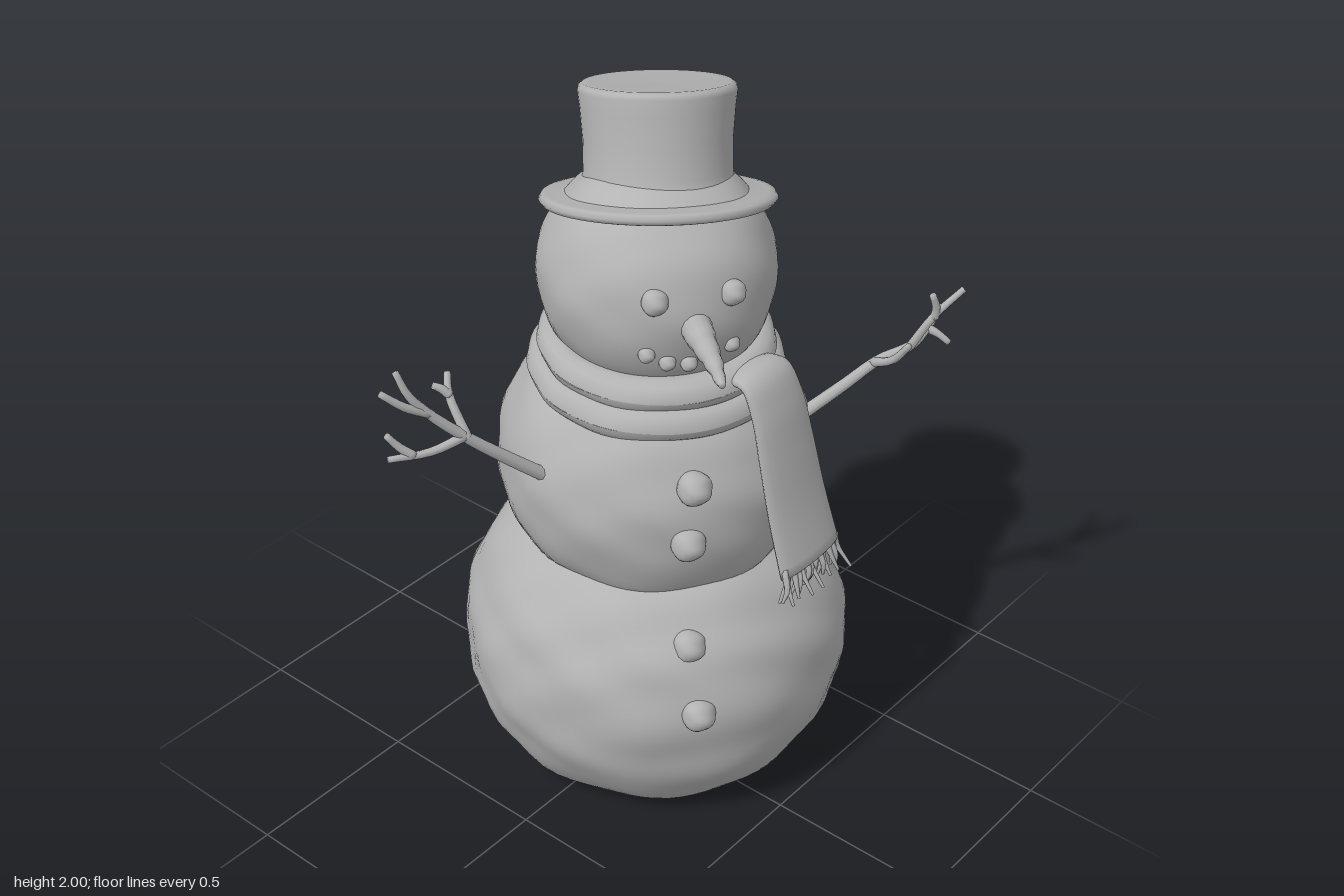
import * as THREE from 'three';
import { mergeVertices } from 'three/addons/utils/BufferGeometryUtils.js';

const V = (a) => new THREE.Vector3(...a);
const snowGray = new THREE.MeshStandardMaterial({ color: 0xb3b3b3 });
snowGray.name = 'plain gray';

// Hand-packed lumpiness: push each vertex along its normal by layered waves
function lumpy(geometry, amount, freq, keepFloor = false) {
  const n = geometry.attributes.normal, p = geometry.attributes.position;
  for (let i = 0; i < p.count; i++) {
    const x = p.getX(i) * freq, y = p.getY(i) * freq, z = p.getZ(i) * freq;
    if (keepFloor && p.getY(i) < 0.01) continue;
    const d = amount * (Math.sin(x + 1.7 * Math.sin(y * 0.9)) * Math.cos(z * 1.1 + y)
      + 0.5 * Math.sin(2.1 * y + 1.3 * x - 1.9 * z));
    p.setXYZ(i, p.getX(i) + n.getX(i) * d, p.getY(i) + n.getY(i) * d, p.getZ(i) + n.getZ(i) * d);
  }
  geometry.deleteAttribute('uv');
  geometry.deleteAttribute('normal');
  const merged = mergeVertices(geometry, 1e-5);
  merged.computeVertexNormals();
  return merged;
}

// Closed sweep with an elliptical section; size(t) gives half width and half depth
function sweep(points, size, steps = 12, sides = 8, ref = [0, 0, 1]) {
  const curve = new THREE.CatmullRomCurve3(points.map(V));
  const pos = [], index = [];
  for (let i = -1; i <= steps + 1; i++) {
    const t = Math.min(Math.max(i / steps, 0), 1);
    const c = curve.getPoint(t), T = curve.getTangent(t);
    const side = V(ref).addScaledVector(T, -V(ref).dot(T)).normalize();
    const up = T.clone().cross(side);
    const k = i < 0 || i > steps ? 0.001 : 1;
    const [w, h] = size(t);
    for (let j = 0; j < sides; j++) {
      const a = (j / sides) * Math.PI * 2;
      const q = c.clone().addScaledVector(side, Math.cos(a) * w * k).addScaledVector(up, Math.sin(a) * h * k);
      pos.push(q.x, q.y, q.z);
    }
  }
  for (let i = 0; i < steps + 2; i++) {
    for (let j = 0; j < sides; j++) {
      const a = i * sides + j, b = i * sides + (j + 1) % sides;
      index.push(a, b, a + sides, b, b + sides, a + sides);
    }
  }
  const g = new THREE.BufferGeometry();
  g.setAttribute('position', new THREE.Float32BufferAttribute(pos, 3));
  g.setIndex(index);
  g.computeVertexNormals();
  return g;
}

export function createModel() {
  const root = new THREE.Group();
  const add = (name, geometry, at = [0, 0, 0], parent = root) => {
    const m = new THREE.Mesh(geometry, snowGray);
    m.name = name;
    m.position.set(...at);
    parent.add(m);
    return m;
  };
  const group = (name) => {
    const g = new THREE.Group();
    g.name = name;
    root.add(g);
    return g;
  };

  // Bottom snowball, flattened where it meets the ground
  const profile = new THREE.SplineCurve([[0.33, 0.002], [0.40, 0.03], [0.475, 0.13], [0.522, 0.25], [0.535, 0.37],
    [0.52, 0.49], [0.47, 0.61], [0.37, 0.73], [0.2, 0.8], [0, 0.82]].map((p) => new THREE.Vector2(...p))).getPoints(48);
  profile[profile.length - 1].x = 0;
  const flat = [0, 0.15, 0.3].map((r) => new THREE.Vector2(r, 0));
  add('bottomSnowball', lumpy(new THREE.LatheGeometry([...flat, ...profile], 72), 0.006, 13, true), [0.08, 0, -0.02]);

  // Middle snowball and head
  const ball = (rx, ry) => new THREE.SphereGeometry(1, 64, 44).scale(rx, ry, rx);
  const middle = { c: [0.078, 0.94, -0.02], r: [0.425, 0.41] };
  const skull = { c: [0.075, 1.49, -0.017], r: [0.31, 0.31] };
  const bottom = { c: [0.08, 0.38, -0.02], r: [0.535, 0.42] };
  add('middleSnowball', lumpy(ball(...middle.r), 0.005, 14), middle.c);
  add('head', lumpy(ball(...skull.r), 0.003, 15), skull.c);

  // Front surface point of a snowball at a given x and y
  const onFront = (s, x, y) => {
    const u = (x - s.c[0]) / s.r[0], v = (y - s.c[1]) / s.r[1];
    return [x, y, s.c[2] + s.r[0] * Math.sqrt(Math.max(0, 1 - u * u - v * v))];
  };
  const pebbles = (name, shape, radius, list) => {
    const g = group(name + 's');
    for (const [x, y] of list) {
      add(name, lumpy(new THREE.SphereGeometry(radius, 18, 14), radius * 0.06, 2 / radius), onFront(shape, x, y), g);
    }
  };
  pebbles('eye', skull, 0.034, [[-0.16, 1.56], [0.01, 1.555]]);
  pebbles('mouthPebble', skull, 0.022, [[-0.17, 1.41], [-0.13, 1.382], [-0.085, 1.372], [-0.038, 1.38], [0.015, 1.405]]);
  pebbles('upperButton', middle, 0.046, [[-0.16, 1.07], [-0.188, 0.915]]);
  pebbles('lowerButton', bottom, 0.046, [[-0.205, 0.605], [-0.245, 0.435]]);

  // Carrot nose
  add('nose', sweep([[-0.06, 1.48, 0.21], [-0.13, 1.485, 0.3], [-0.2, 1.49, 0.39], [-0.27, 1.497, 0.47]],
    (t) => { const r = 0.046 - 0.036 * t + 0.0015 * Math.sin(t * 30); return [r, r]; }, 24, 14, [0, 1, 0]));

  // Tilted top hat: brim and crown in one turned profile
  const hat = add('topHat', new THREE.LatheGeometry([[0, -0.016], [0.28, -0.016], [0.295, -0.012], [0.304, 0],
    [0.297, 0.012], [0.28, 0.016], [0.215, 0.018], [0.198, 0.032], [0.19, 0.07], [0.19, 0.15], [0.196, 0.23],
    [0.201, 0.272], [0.198, 0.284], [0.188, 0.291], [0.17, 0.29], [0, 0.287]].map((p) => new THREE.Vector2(...p)), 56),
  [0.115, 1.667, -0.047]);
  hat.quaternion.setFromUnitVectors(new THREE.Vector3(0, 1, 0), new THREE.Vector3(0.21, 1, -0.19).normalize());

  // Scarf: two wraps around the neck, sagging a little at the front
  const scarf = group('scarf');
  for (const [R, r, y] of [[0.262, 0.05, 1.293], [0.285, 0.055, 1.225]]) {
    const g = new THREE.TorusGeometry(R, r, 14, 72).rotateX(Math.PI / 2).scale(1, 0.9, 1);
    const p = g.attributes.position;
    for (let i = 0; i < p.count; i++) p.setY(i, p.getY(i) - 0.05 * p.getZ(i) + 0.02 * p.getX(i));
    g.computeVertexNormals();
    add('scarfWrap', lumpy(g, 0.003, 16), [0.064, y, -0.008], scarf);
  }
  // Hanging end, folded over the wraps
  add('scarfTail', sweep([[0.09, 1.23, 0.25], [0.09, 1.29, 0.275], [0.09, 1.295, 0.325], [0.095, 1.22, 0.365],
    [0.1, 1.1, 0.395], [0.108, 0.94, 0.43], [0.115, 0.78, 0.475]],
  (t) => [0.078 + 0.045 * t, 0.026], 36, 20, [1, 0, 0]), [0, 0, 0], scarf);
  // Fringe strands
  const strands = 18;
  for (let i = 0; i < strands; i++) {
    const u = i / (strands - 1) - 0.5, k = Math.sin(i * 2.3), m = Math.cos(i * 1.7);
    const x = 0.115 + u * 0.22;
    add('fringe', sweep([[x, 0.80, 0.472], [x + u * 0.02 + 0.004 * k, 0.75, 0.484 + 0.01 * m],
      [x + u * 0.04 + 0.01 * k, 0.70 + 0.012 * m, 0.488 + 0.025 * k]],
    (t) => [0.009 - 0.005 * t, 0.012 - 0.008 * t], 5, 6, [1, 0, 0]), [0, 0, 0], scarf);
  }

  // Stick arms: a main stick followed by its twigs
  const arms = {
    rightArm: [
      [[-0.27, 0.99, -0.035], [-0.41, 1.115, -0.10], [-0.5, 1.2, -0.14], [-0.59, 1.3, -0.19], [-0.635, 1.37, -0.215], [-0.65, 1.43, -0.235]],
      [[-0.515, 1.215, -0.145], [-0.6, 1.197, -0.18], [-0.7, 1.203, -0.23]],
      [[-0.64, 1.197, -0.2], [-0.665, 1.225, -0.22], [-0.69, 1.265, -0.24]],
      [[-0.51, 1.21, -0.14], [-0.5, 1.31, -0.21], [-0.475, 1.35, -0.235]],
      [[-0.5, 1.305, -0.205], [-0.515, 1.325, -0.22], [-0.53, 1.335, -0.235]],
      [[-0.59, 1.3, -0.19], [-0.65, 1.34, -0.21], [-0.7, 1.39, -0.24]],
    ],
    leftArm: [
      [[0.33, 1.02, 0.26], [0.42, 1.11, 0.34], [0.49, 1.18, 0.4], [0.57, 1.21, 0.45], [0.635, 1.235, 0.455], [0.7, 1.275, 0.45]],
      [[0.48, 1.175, 0.39], [0.47, 1.215, 0.46], [0.465, 1.28, 0.51]],
      [[0.565, 1.21, 0.45], [0.59, 1.31, 0.5], [0.655, 1.38, 0.545]],
      [[0.592, 1.305, 0.5], [0.59, 1.335, 0.505], [0.575, 1.38, 0.5]],
      [[0.635, 1.235, 0.455], [0.645, 1.225, 0.48], [0.66, 1.2, 0.51]],
    ],
  };
  for (const [name, sticks] of Object.entries(arms)) {
    const arm = group(name);
    sticks.forEach((points, i) => {
      const r0 = i ? 0.013 : 0.019;
      add(i ? 'twig' : 'stick', sweep(points, (t) => [r0 - (r0 - 0.009) * t, r0 - (r0 - 0.009) * t],
        i ? 8 : 18, 8), [0, 0, 0], arm);
    });
  }
  return root;
}
